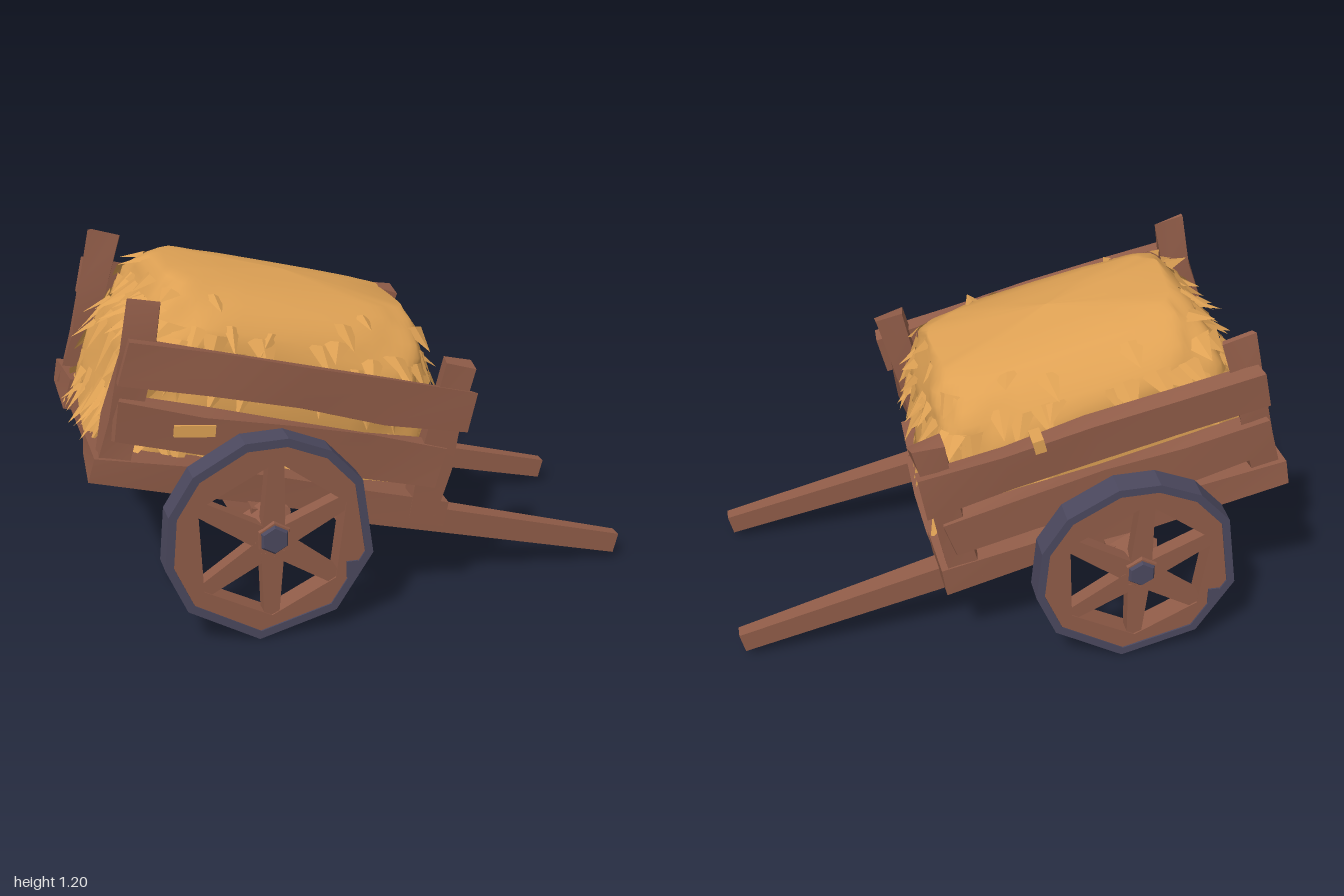
import * as THREE from 'three';
import { toCreasedNormals } from 'three/addons/utils/BufferGeometryUtils.js';

const wood = new THREE.MeshStandardMaterial({ color: 0x905c48 });
const iron = new THREE.MeshStandardMaterial({ color: 0x4b485e });
const straw = new THREE.MeshStandardMaterial({ color: 0xdea154, side: THREE.DoubleSide });
wood.name = 'wood';
iron.name = 'iron';
straw.name = 'straw';

let seed = 7;
const rand = () => (seed = (seed * 16807) % 2147483647) / 2147483647;
const rad = THREE.MathUtils.degToRad;

function add(parent, name, geometry, material) {
  const mesh = new THREE.Mesh(geometry, material);
  mesh.name = name;
  parent.add(mesh);
  return mesh;
}

// Rough-hewn plank: a box between two corners, its vertices shifted by a small hash of position.
// topTaper narrows the top edge across z.
function plank(min, max, segs = [1, 1, 1], rough = 0.012, topTaper = 1) {
  const size = max.map((v, i) => v - min[i]);
  const g = new THREE.BoxGeometry(...size, ...segs);
  g.translate(...min.map((v, i) => v + size[i] / 2));
  const p = g.attributes.position;
  const zMid = (min[2] + max[2]) / 2;
  const hash = (x, y, z, k) => {
    const s = Math.sin(x * 37.7 + y * 91.3 + z * 53.1 + k * 17.9) * 4375.85;
    return (s - Math.floor(s) - 0.5) * 2 * rough;
  };
  for (let i = 0; i < p.count; i++) {
    const [x, y, z] = [p.getX(i), p.getY(i), p.getZ(i)].map((v) => Math.round(v * 1000) / 1000);
    const zt = y > max[1] - 0.01 ? zMid + (z - zMid) * topTaper : z;
    p.setXYZ(i, x + hash(x, y, z, 1), y + hash(x, y, z, 2), zt + hash(x, y, z, 3) * 0.6);
  }
  return toCreasedNormals(g, 0.6);
}

// Hay heap: half length, half width and height of each layer
const LAYERS = [
  [0.61, 0.395, 0.12], [0.6, 0.405, 0.28], [0.57, 0.415, 0.42], [0.54, 0.415, 0.53],
  [0.51, 0.385, 0.605], [0.475, 0.31, 0.68], [0.43, 0.2, 0.73], [0, 0, 0.76],
];

function haySurface(level, t) {
  const l = THREE.MathUtils.clamp(level, 0, LAYERS.length - 1);
  const i = Math.min(Math.floor(l), LAYERS.length - 2);
  const [hu, hz, v] = LAYERS[i].map((a, k) => THREE.MathUtils.lerp(a, LAYERS[i + 1][k], l - i));
  const bend = (a) => Math.sign(a) * Math.abs(a) ** 0.38;
  const lump = 1 + 0.018 * Math.sin(t * 7 + l * 2) + 0.012 * Math.sin(t * 11 - l * 3);
  return new THREE.Vector3(0.01 + hu * bend(Math.cos(t)) * lump, v, hz * bend(Math.sin(t)) * lump);
}

function hayHeap() {
  const rows = 15, cols = 64, pos = [], index = [];
  for (let i = 0; i < rows; i++) {
    for (let j = 0; j < cols; j++) {
      pos.push(...haySurface((i / (rows - 1)) * (LAYERS.length - 1), (j / cols) * Math.PI * 2).toArray());
      if (i === rows - 1) continue;
      const a = i * cols + j, b = i * cols + ((j + 1) % cols);
      index.push(a, a + cols, b, b, a + cols, b + cols);
    }
  }
  const g = new THREE.BufferGeometry();
  g.setAttribute('position', new THREE.Float32BufferAttribute(pos, 3));
  g.setIndex(index);
  g.computeVertexNormals();
  return g;
}

// Broad folded straw blades lying down the slope of the heap
function hayTufts() {
  const pos = [];
  const row = (level, count, length, lift) => {
    for (let i = 0; i < count; i++) {
      // Even spacing around the squarish plan
      const a = ((i + rand() * 0.8) / count) * Math.PI * 2;
      const t = a - 0.22 * Math.sin(4 * a);
      const l = level + (rand() - 0.5) * 0.7;
      const mid = haySurface(l, t);
      const side = haySurface(l, t + 0.05).sub(haySurface(l, t - 0.05)).normalize();
      const down = l < 0.6 ? new THREE.Vector3(0, -1, 0) : haySurface(l - 0.5, t).sub(mid).normalize();
      const out = side.clone().cross(down).normalize();
      if (out.dot(mid.clone().setY(mid.y - 0.3)) < 0) out.negate();
      const half = 0.03 + rand() * 0.035;
      const left = mid.clone().addScaledVector(side, -half).addScaledVector(out, -0.006);
      const right = mid.clone().addScaledVector(side, half).addScaledVector(out, -0.006);
      const tip = mid.clone().addScaledVector(down, length * (0.6 + rand() * 0.7))
        .addScaledVector(out, lift * (0.4 + rand())).addScaledVector(side, (rand() - 0.5) * 0.1);
      mid.addScaledVector(out, 0.008);
      for (const v of [left, tip, mid, mid, tip, right]) pos.push(v.x, v.y, v.z);
    }
  };
  row(0.5, 52, 0.11, 0.04);
  row(1.3, 24, 0.12, 0.025);
  row(2.2, 28, 0.13, 0.03);
  row(3.0, 52, 0.12, 0.045);
  row(4.0, 44, 0.11, 0.045);
  row(5.2, 14, 0.1, 0.025);
  const g = new THREE.BufferGeometry();
  g.setAttribute('position', new THREE.Float32BufferAttribute(pos, 3));
  g.computeVertexNormals();
  return g;
}

// Uneven polygonal ring, extruded along z
const RIM = [-170, -142, -97, -52, -14, 30, 55, 80, 103, 135, 160];
const SPOKES = [22, 85, 150, 215, 270, 323];
const polygon = (angles, r) => angles.map((a) => new THREE.Vector2(r * Math.cos(rad(a)), r * Math.sin(rad(a))));
function ring(outer, innerAngles, inner, z0, z1) {
  const shape = new THREE.Shape(polygon(RIM, outer));
  shape.holes.push(new THREE.Path(polygon(innerAngles, inner)));
  return new THREE.ExtrudeGeometry(shape, { depth: z1 - z0, bevelEnabled: false }).translate(0, 0, z0);
}

function buildWheel() {
  const wheel = new THREE.Group();
  add(wheel, 'tyre', ring(0.37, RIM, 0.34, 0.54, 0.636), iron);
  add(wheel, 'felloe', ring(0.341, SPOKES, 0.285, 0.546, 0.63), wood);
  add(wheel, 'tyreClamp', new THREE.BoxGeometry(0.04, 0.06, 0.008), iron).position.set(0.285, -0.145, 0.632);
  for (const a of SPOKES) {
    // Spokes narrow outward and dish out toward the hub
    const g = new THREE.BoxGeometry(0.26, 0.08, 0.055);
    const p = g.attributes.position;
    for (let i = 0; i < p.count; i++) {
      if (p.getX(i) > 0) p.setY(i, p.getY(i) * 0.65);
      else p.setZ(i, p.getZ(i) + 0.03);
    }
    g.translate(0.165, 0, 0.595).rotateZ(rad(a));
    add(wheel, 'spoke', g, wood);
  }
  const hub = new THREE.CylinderGeometry(0.06, 0.1, 0.12, 6).rotateX(Math.PI / 2).translate(0.005, 0.015, 0.6);
  add(wheel, 'hub', toCreasedNormals(hub, 0.4), wood);
  const cap = new THREE.CylinderGeometry(0.045, 0.065, 0.025, 6).rotateX(Math.PI / 2).translate(0.005, 0.015, 0.658);
  add(wheel, 'hubCap', toCreasedNormals(cap, 0.4), iron);
  wheel.position.set(-0.41, 0.37, 0);
  return wheel;
}

export function createModel() {
  const model = new THREE.Group();
  model.name = 'hayCart';

  // Tilted body, resting on its handles
  const body = new THREE.Group();
  body.name = 'body';
  body.position.set(-0.4, 0.39, 0);
  body.rotation.z = -0.25;
  model.add(body);

  // Bed boards and axle
  add(body, 'bedBoard', plank([-0.58, 0.025, -0.27], [0.67, 0.135, 0.27], [4, 1, 2]), wood);
  add(body, 'bedBoard', plank([-0.62, 0.045, 0.25], [0.66, 0.15, 0.505], [4, 1, 1]), wood);
  add(body, 'bedBoard', plank([-0.62, 0.045, -0.51], [0.66, 0.15, -0.25], [4, 1, 1]), wood);
  add(body, 'axle', plank([-0.07, -0.06, -0.56], [0.07, 0.06, 0.56], [1, 1, 3], 0.008), wood);

  for (const s of [1, -1]) {
    const span = (a, b) => (s > 0 ? [a, b] : [-b, -a]);
    const board = (name, u, v, z, ...shape) => {
      const [z0, z1] = span(...z);
      return add(body, name, plank([u[0], v[0], z0], [u[1], v[1], z1], ...shape), wood);
    };
    // Side rails and corner posts
    board('topRail', [-0.60, 0.635], [0.41, 0.56], [0.465, 0.53], [4, 1, 1]);
    board('lowerRail', [-0.58, 0.59], [0.205, 0.35], [0.45, 0.515], [4, 1, 1]);
    board('rearPost', [-0.61, -0.50], [0.08, 0.675], [0.415, 0.49], [1, 3, 1], 0.012, 0.25);
    board('frontPost', [0.51, 0.62], [0.08, 0.65], [0.42, 0.505], [1, 3, 1], 0.012, 0.8);

    // Handle, tapering to the grip
    const handle = new THREE.BoxGeometry(1.12, 0.1, 0.1);
    const p = handle.attributes.position;
    for (let i = 0; i < p.count; i++) {
      if (p.getX(i) < 0) continue;
      p.setY(i, p.getY(i) * 0.75 - 0.005);
      p.setZ(i, p.getZ(i) * 0.5 + s * 0.03);
    }
    add(body, 'handle', handle, wood).position.set(0.86, 0.03, s * 0.338);
  }

  // Hay load
  add(body, 'hayHeap', hayHeap(), straw);
  add(body, 'hayTufts', hayTufts(), straw);
  // Loose wisps caught on the rails
  add(body, 'looseWisp', new THREE.BoxGeometry(0.14, 0.04, 0.06).rotateZ(0.15), straw).position.set(-0.32, 0.29, 0.5);
  add(body, 'looseWisp', new THREE.BoxGeometry(0.04, 0.05, 0.08), straw).position.set(0.2, 0.55, -0.495);

  // Wheels
  const leftWheel = buildWheel();
  leftWheel.name = 'frontSideWheel';
  const rightWheel = buildWheel();
  rightWheel.name = 'backSideWheel';
  rightWheel.rotation.y = Math.PI;
  model.add(leftWheel, rightWheel);
  return model;
}
